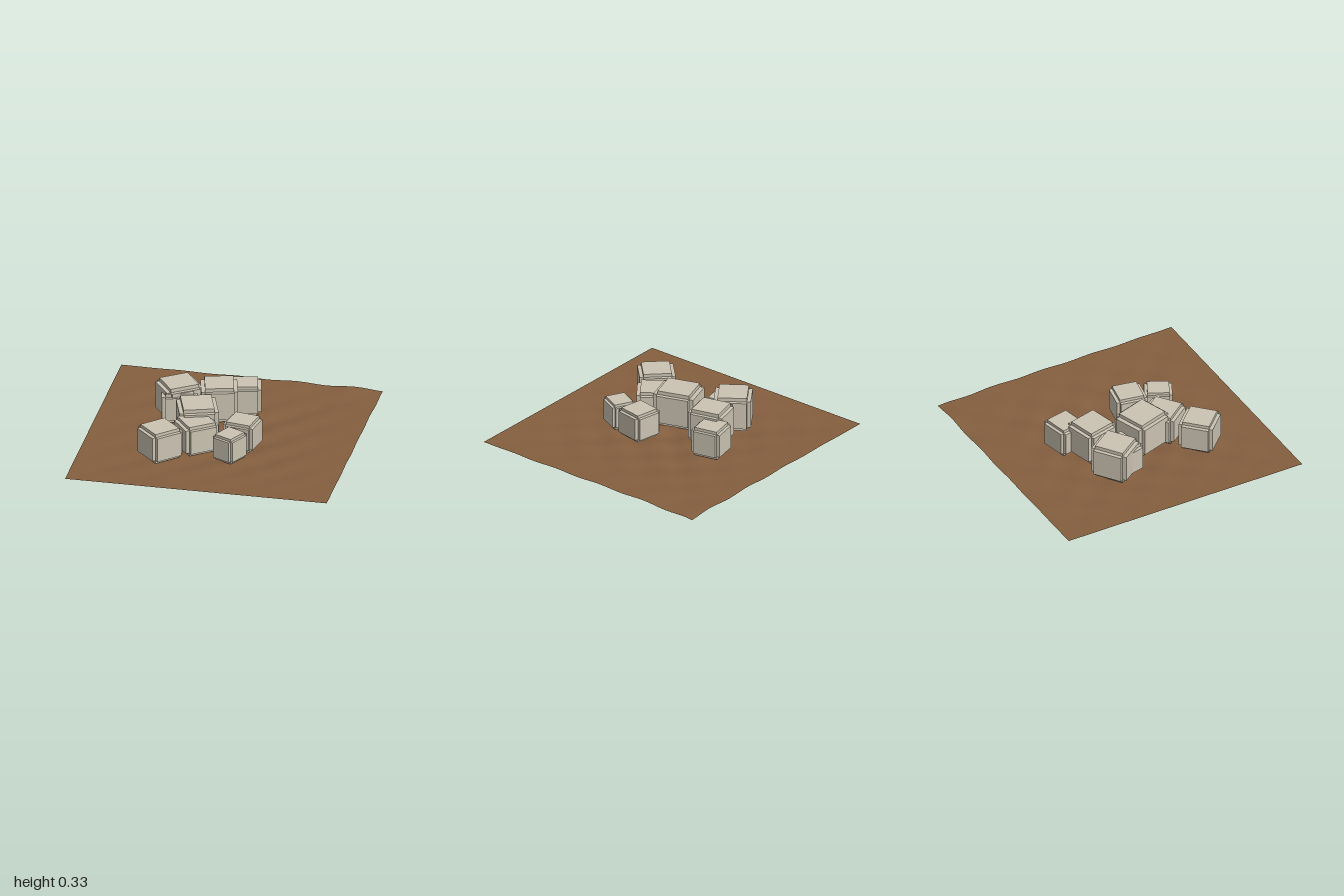
import * as THREE from 'three';

export function createModel() {
  const model = new THREE.Group();
  const stone = new THREE.MeshStandardMaterial({ color: 0xcbc3b2 });
  stone.name = 'pale stone';
  const earth = new THREE.MeshStandardMaterial({ color: 0x855f3f, side: THREE.DoubleSide });
  earth.name = 'brown earth';

  // Ground sheet: gentle ripples, deepest at the middle, ragged at two edges
  const groundGeo = new THREE.PlaneGeometry(2, 2, 40, 40).rotateX(-Math.PI / 2);
  const pos = groundGeo.attributes.position;
  for (let i = 0; i < pos.count; i++) {
    const x = pos.getX(i), z = pos.getZ(i);
    const inner = 1 - Math.max(Math.abs(x), Math.abs(z));
    const ripple = 1 + Math.cos(x * 16) * Math.cos(z * 16);
    const right = Math.max(0, x) ** 4 * (1 + Math.sin(z * 15)) * (1 - z * z * z);
    const back = Math.max(0, -z) ** 4 * (1 + Math.sin(x * 14)) * (1 + x);
    pos.setY(i, Math.max(0, 0.045 - 0.0225 * inner * ripple - 0.004 * (right + back)));
  }
  groundGeo.computeVertexNormals();
  const ground = new THREE.Mesh(groundGeo, earth);
  ground.name = 'ground';
  model.add(ground);

  // Each block is three crossed boxes, which leaves stepped edges
  const base = 0.05, inset = 0.79;
  function addBlock([x, z, width, depth, top, degrees], index) {
    const block = new THREE.Group();
    block.name = `stoneBlock${index + 1}`;
    const height = top - base;
    const pieces = {
      core: [inset, 1, inset],
      sidePanels: [1, inset, inset],
      endPanels: [inset, inset, 1],
    };
    for (const [name, [sx, sy, sz]] of Object.entries(pieces)) {
      const mesh = new THREE.Mesh(new THREE.BoxGeometry(width * sx, height * sy, depth * sz), stone);
      mesh.name = name;
      block.add(mesh);
    }
    block.position.set(x, base + height / 2, z);
    block.rotation.y = THREE.MathUtils.degToRad(degrees);
    model.add(block);
  }

  // x, z, width, depth, top, turn
  [
    [0.18, 0.17, 0.24, 0.24, 0.27, -10.5],
    [0.13, 0.40, 0.19, 0.21, 0.255, -27],
    [-0.15, 0.285, 0.27, 0.27, 0.285, 37],
    [-0.185, 0.085, 0.295, 0.32, 0.33, 18],
    [-0.39, 0.465, 0.265, 0.27, 0.29, 44],
    [-0.10, -0.295, 0.275, 0.28, 0.325, 14],
    [0.07, -0.435, 0.24, 0.235, 0.28, 12],
    [-0.40, -0.265, 0.29, 0.28, 0.32, 35],
    [-0.385, -0.205, 0.27, 0.24, 0.285, 14],
  ].forEach(addBlock);

  return model;
}
